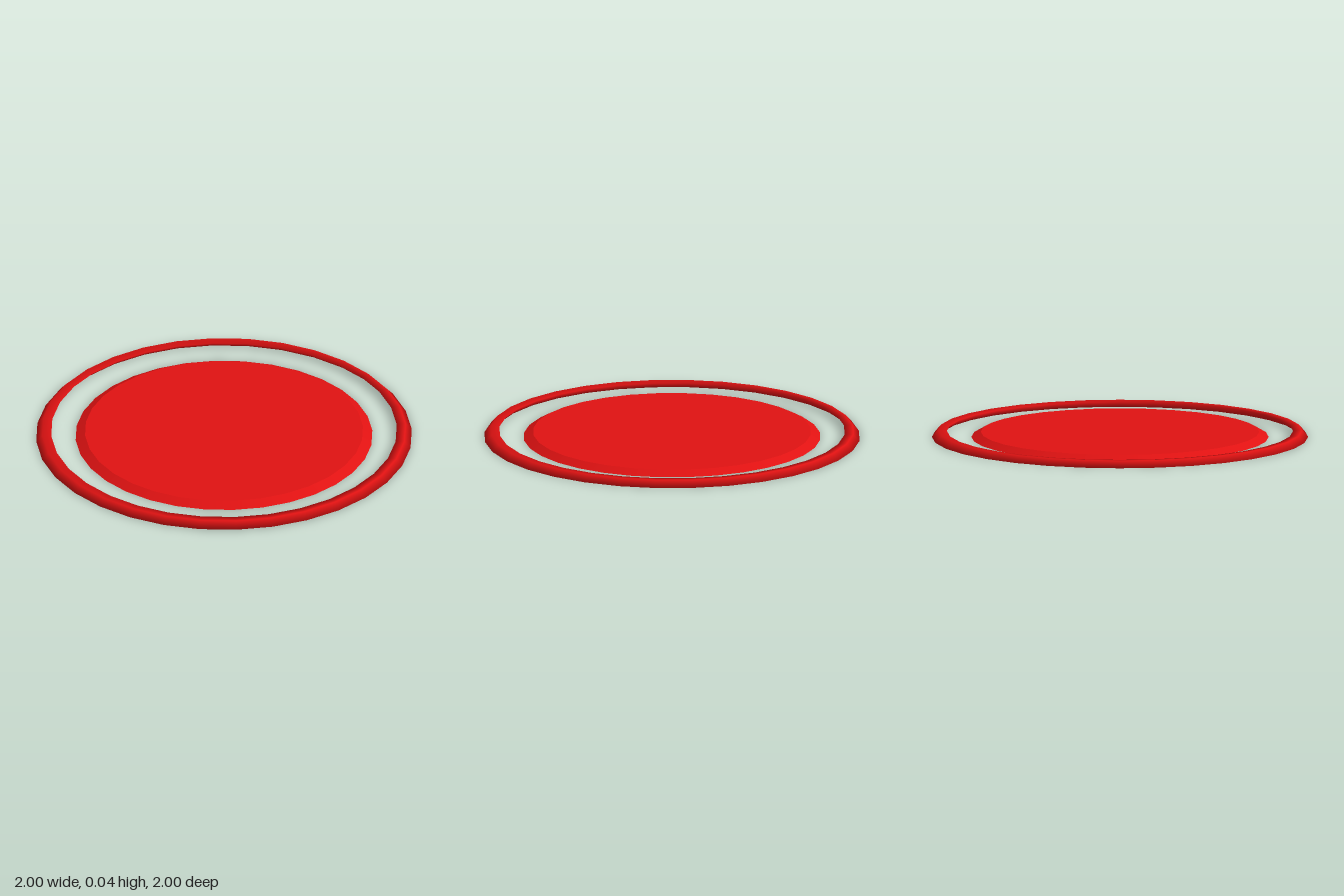
import * as THREE from 'three';
import { mergeVertices } from 'three/addons/utils/BufferGeometryUtils.js';

const SIDES = 32;
const HEIGHT = 0.036;

// Closed cross-section turned about y, with normals smoothed over every edge
function smoothRing(profile) {
  const points = [...profile, profile[0]].map(([r, y]) => new THREE.Vector2(r, y));
  let geometry = new THREE.LatheGeometry(points, SIDES);
  geometry.deleteAttribute('uv');
  geometry.deleteAttribute('normal');
  geometry = mergeVertices(geometry, 1e-4);
  geometry.computeVertexNormals();
  return geometry;
}

export function createModel() {
  const group = new THREE.Group();
  const red = new THREE.MeshStandardMaterial({ color: 0xe01212 });

  // Outer ring with a slanted four-sided section
  const ring = new THREE.Mesh(
    smoothRing([[1, 0], [0.967, HEIGHT], [0.92, 0.032], [0.953, 0]]),
    red
  );
  ring.name = 'outerRing';
  group.add(ring);

  // Flat centre disc with a bevelled rim
  const thickness = 0.028;
  const disc = new THREE.Mesh(
    new THREE.CylinderGeometry(0.74, 0.79, thickness, SIDES),
    red
  );
  disc.position.y = thickness / 2;
  disc.name = 'centreDisc';
  group.add(disc);

  return group;
}
